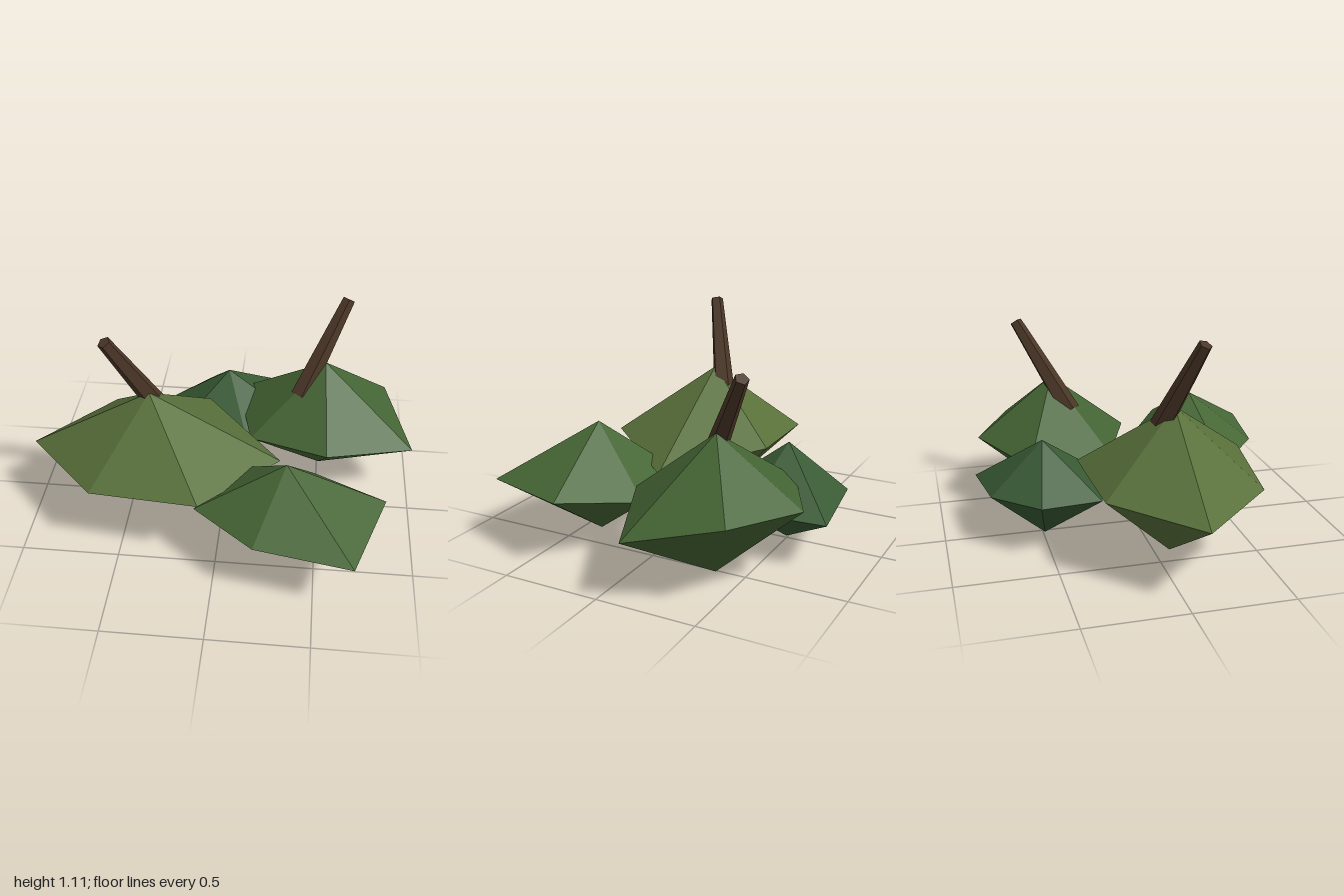
import * as THREE from 'three';

const material = (color) => new THREE.MeshStandardMaterial({ color, flatShading: true });

// Leaf clump: an irregular double pyramid with a top point, a bottom point and a ring between them
function foliage(name, color, top, bottom, ring) {
  const points = [];
  ring.forEach((corner, i) => {
    const next = ring[(i + 1) % ring.length];
    points.push(...top, ...next, ...corner, ...bottom, ...corner, ...next);
  });
  const geometry = new THREE.BufferGeometry();
  geometry.setAttribute('position', new THREE.Float32BufferAttribute(points, 3));
  geometry.computeVertexNormals();
  const mesh = new THREE.Mesh(geometry, material(color));
  mesh.name = name;
  return mesh;
}

// Tapered five-sided branch running from its base to its tip
function branch(name, base, tip) {
  const a = new THREE.Vector3(...base);
  const b = new THREE.Vector3(...tip);
  const axis = b.clone().sub(a);
  const geometry = new THREE.CylinderGeometry(0.034, 0.058, axis.length(), 5);
  const mesh = new THREE.Mesh(geometry, material(0x4a3626));
  mesh.position.copy(a).add(b).multiplyScalar(0.5);
  mesh.quaternion.setFromUnitVectors(new THREE.Vector3(0, 1, 0), axis.normalize());
  mesh.name = name;
  return mesh;
}

export function createModel() {
  const model = new THREE.Group();
  model.name = 'foliageCluster';

  model.add(
    // Large clump on the right
    foliage('largeFoliage', 0x58703a, [-0.37, 0.75, 0.1], [-0.38, 0, 0.08], [
      [-1, 0.375, 0.08], [-0.63, 0.4, -0.3], [-0.11, 0.42, -0.33],
      [0.3, 0.345, 0.08], [-0.08, 0.41, 0.54], [-0.63, 0.385, 0.47],
    ]),
    // Front clump
    foliage('frontFoliage', 0x466635, [0.34, 0.59, 0.4], [0.33, 0, 0.41], [
      [0.84, 0.335, 0.33], [0.68, 0.32, 0.8], [0.2, 0.33, 0.72],
      [-0.11, 0.32, 0.46], [0.08, 0.3, 0.1], [0.48, 0.26, 0.06],
    ]),
    // Left clump
    foliage('leftFoliage', 0x446434, [0.51, 0.69, -0.35], [0.51, 0, -0.35], [
      [0.48, 0.375, -0.77], [0.86, 0.395, -0.57], [1, 0.3, -0.13],
      [0.54, 0.37, 0.06], [0.13, 0.34, -0.1], [0.03, 0.35, -0.55],
    ]),
    // Small back clump
    foliage('backFoliage', 0x385a34, [-0.02, 0.51, -0.49], [-0.02, 0, -0.49], [
      [0.28, 0.235, -0.81], [0.36, 0.26, -0.42], [0.11, 0.26, -0.16],
      [-0.29, 0.26, -0.24], [-0.34, 0.27, -0.55], [-0.13, 0.27, -0.77],
    ]),
    // Bare branches rising from the two tallest clumps
    branch('rightBranch', [-0.345, 0.64, 0.035], [-0.555, 1.09, 0.185]),
    branch('leftBranch', [0.385, 0.52, -0.27], [0.61, 0.985, -0.52])
  );
  return model;
}
